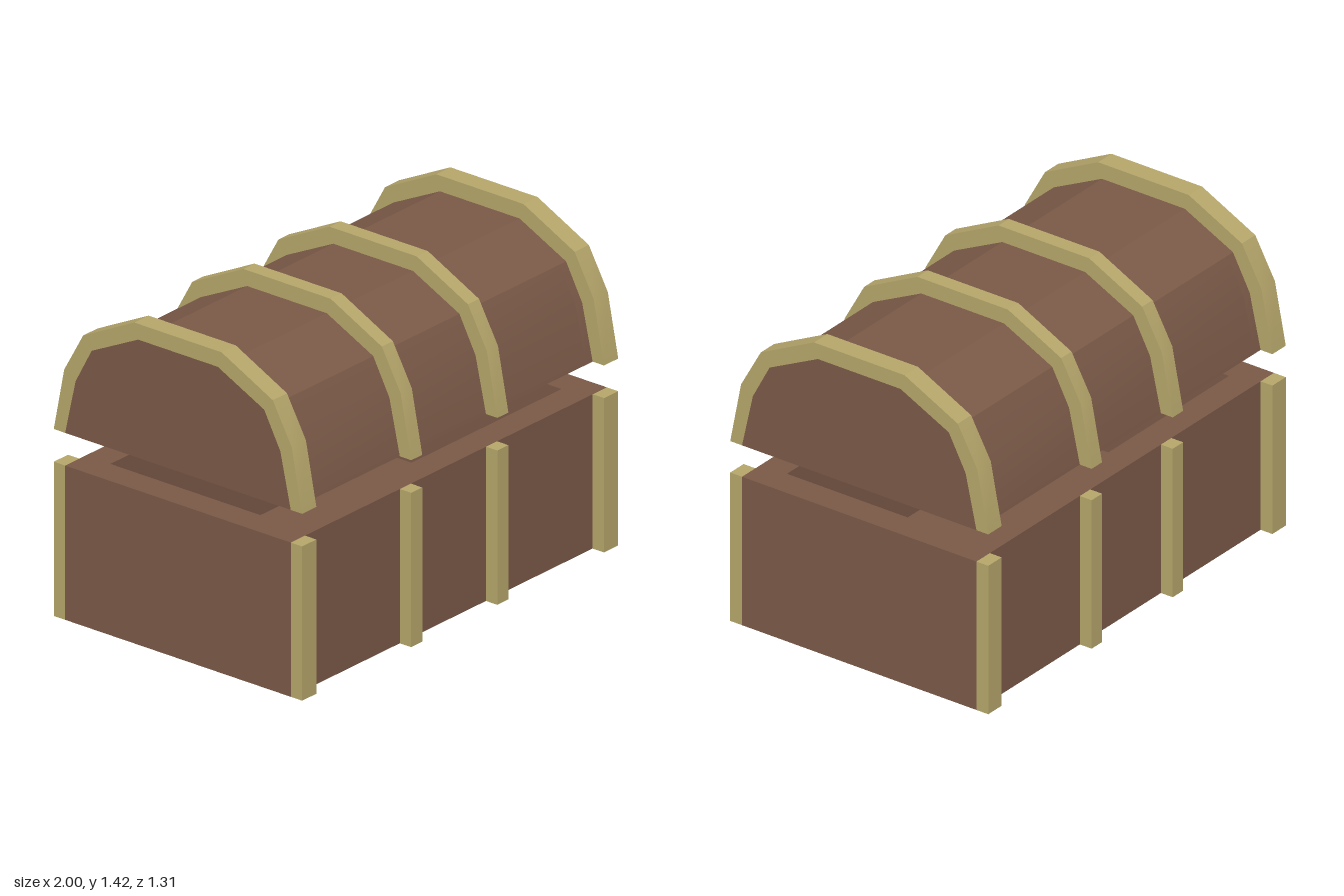
import * as THREE from 'three';
import { toCreasedNormals } from 'three/addons/utils/BufferGeometryUtils.js';

const wood = new THREE.MeshStandardMaterial({ color: 0x7a5947 });
const brass = new THREE.MeshStandardMaterial({ color: 0xb5a56a });

// Half profiles of the arched lid as [z, y], from the rim to the flat crown
const WOOD_ARCH = [[0.595, 0.83], [0.54, 1.075], [0.455, 1.235], [0.21, 1.355]];
const BAND_ARCH = [[0.655, 0.83], [0.6, 1.11], [0.5, 1.29], [0.23, 1.425]];
const INNER_ARCH = [[0.465, 0.83], [0.42, 1.02], [0.36, 1.13], [0.17, 1.225]];

// Start and end of each metal band along x
const BANDS = [[-1, -0.91], [-0.31, -0.24], [0.235, 0.305], [0.91, 1]];
const BASE_H = 0.685, HALF_Z = 0.595, BAND_Z = 0.655, WALL = 0.13;

// Full arch outline, mirrored front to back
function arch(half) {
  const back = half.map(([z, y]) => [-z, y]).reverse();
  return [...half, ...back].map(([z, y]) => new THREE.Vector2(-z, y));
}

function add(group, name, geometry, material) {
  const mesh = new THREE.Mesh(geometry, material);
  mesh.name = name;
  group.add(mesh);
  return mesh;
}

// Extrude a z-y outline along x between two stations
function alongX(points, x0, x1) {
  const geo = new THREE.ExtrudeGeometry(new THREE.Shape(points), { depth: x1 - x0, bevelEnabled: false });
  geo.rotateY(Math.PI / 2).translate(x0, 0, 0);
  return toCreasedNormals(geo, 0.4);
}

function box(x0, x1, y0, y1, z0, z1) {
  return new THREE.BoxGeometry(x1 - x0, y1 - y0, z1 - z0)
    .translate((x0 + x1) / 2, (y0 + y1) / 2, (z0 + z1) / 2);
}

// Rectangle path around the origin
function rect(path, hx, hz) {
  path.moveTo(-hx, -hz);
  path.lineTo(hx, -hz);
  path.lineTo(hx, hz);
  path.lineTo(-hx, hz);
  path.closePath();
  return path;
}

function createBase() {
  const base = new THREE.Group();
  base.name = 'base';
  // Four walls around the open cavity
  const walls = rect(new THREE.Shape(), 1, HALF_Z);
  walls.holes.push(rect(new THREE.Path(), 1 - WALL, HALF_Z - WALL));
  const geo = new THREE.ExtrudeGeometry(walls, { depth: BASE_H, bevelEnabled: false });
  add(base, 'baseWalls', geo.rotateX(-Math.PI / 2), wood);
  add(base, 'baseFloor', box(WALL - 1, 1 - WALL, 0, WALL, WALL - HALF_Z, HALF_Z - WALL), wood);
  // Upright straps on front and back
  for (const [x0, x1] of BANDS) {
    add(base, 'frontStrap', box(x0, x1, 0, BASE_H, HALF_Z, BAND_Z), brass);
    add(base, 'backStrap', box(x0, x1, 0, BASE_H, -BAND_Z, -HALF_Z), brass);
  }
  return base;
}

function createLid() {
  const lid = new THREE.Group();
  lid.name = 'lid';
  const outer = arch(WOOD_ARCH);
  // Hollow arched shell closed by solid ends
  add(lid, 'lidShell', alongX([...outer, ...arch(INNER_ARCH).reverse()], WALL - 1, 1 - WALL), wood);
  add(lid, 'lidRightEnd', alongX(outer, -1, WALL - 1), wood);
  add(lid, 'lidLeftEnd', alongX(outer, 1 - WALL, 1), wood);
  // Metal hoops over the shell
  const hoop = [...arch(BAND_ARCH), ...arch(WOOD_ARCH).reverse()];
  for (const [x0, x1] of BANDS) add(lid, 'lidBand', alongX(hoop, x0, x1), brass);
  return lid;
}

export function createModel() {
  const chest = new THREE.Group();
  chest.name = 'chest';
  chest.add(createBase(), createLid());
  return chest;
}
